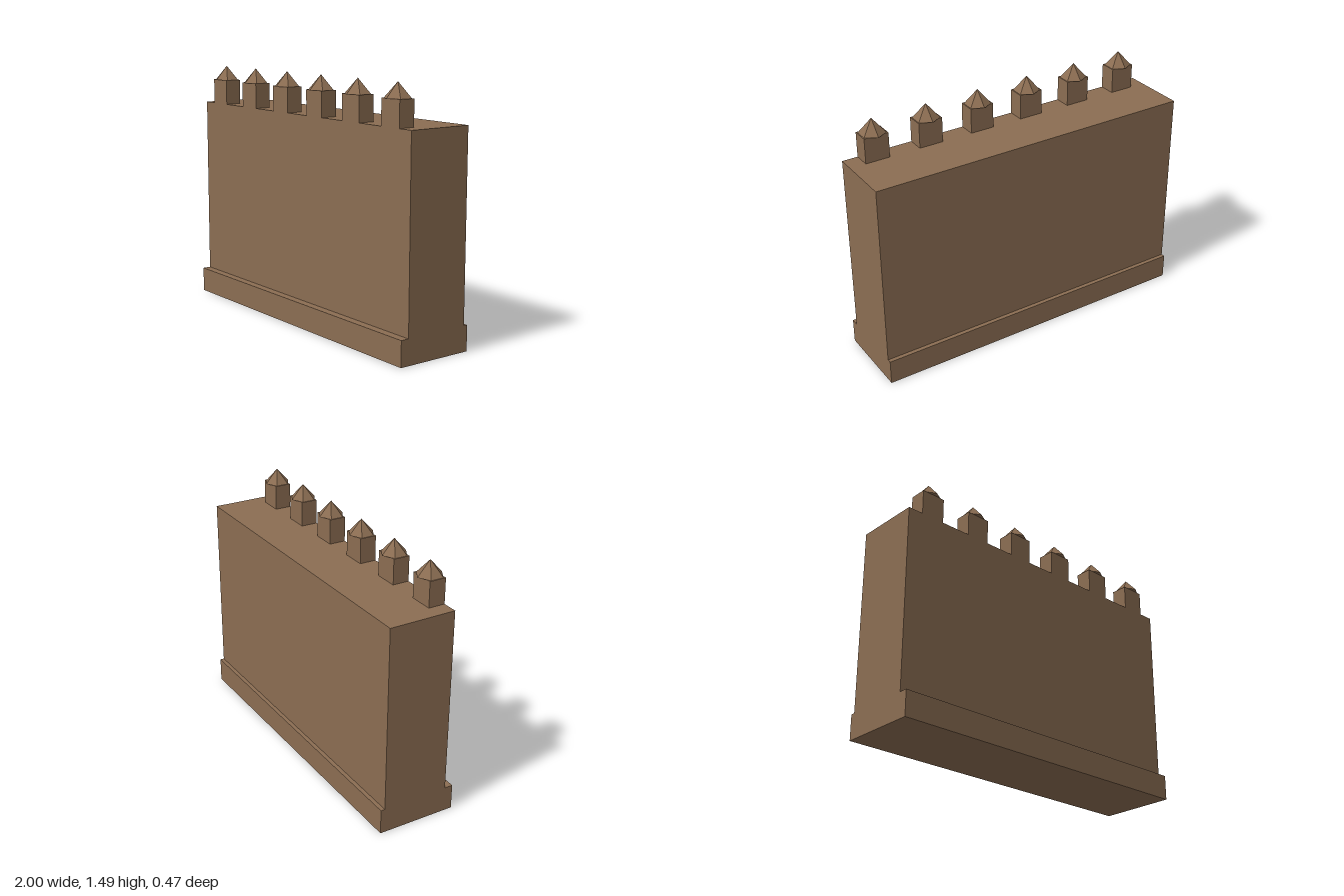
import * as THREE from 'three';

export function createModel() {
  const model = new THREE.Group();
  model.name = 'battlementWall';
  const stone = new THREE.MeshStandardMaterial({ color: 0x8b6d52 });
  stone.name = 'brownStone';

  const add = (parent, name, geometry, x, y, z) => {
    const mesh = new THREE.Mesh(geometry, stone);
    mesh.name = name;
    mesh.position.set(x, y, z);
    parent.add(mesh);
  };

  // Plinth and wall, with the wall set slightly back
  add(model, 'plinth', new THREE.BoxGeometry(2, 0.15, 0.475), 0, 0.075, 0);
  add(model, 'wall', new THREE.BoxGeometry(2, 1.1, 0.4), 0, 0.7, -0.0125);

  // Row of merlons along the front edge, each with a six-sided cap
  const count = 6;
  const block = new THREE.BoxGeometry(0.147, 0.15, 0.1);
  const cap = new THREE.ConeGeometry(0.078, 0.087, 6).toNonIndexed();
  cap.computeVertexNormals();
  for (let i = 0; i < count; i++) {
    const merlon = new THREE.Group();
    merlon.name = 'merlon' + (i + 1);
    merlon.position.set(-1 + (2 * (i + 0.5)) / count, 1.25, 0.1375);
    add(merlon, 'merlonBlock', block, 0, 0.075, 0);
    add(merlon, 'merlonCap', cap, 0, 0.15 + 0.0435, 0);
    model.add(merlon);
  }
  return model;
}
